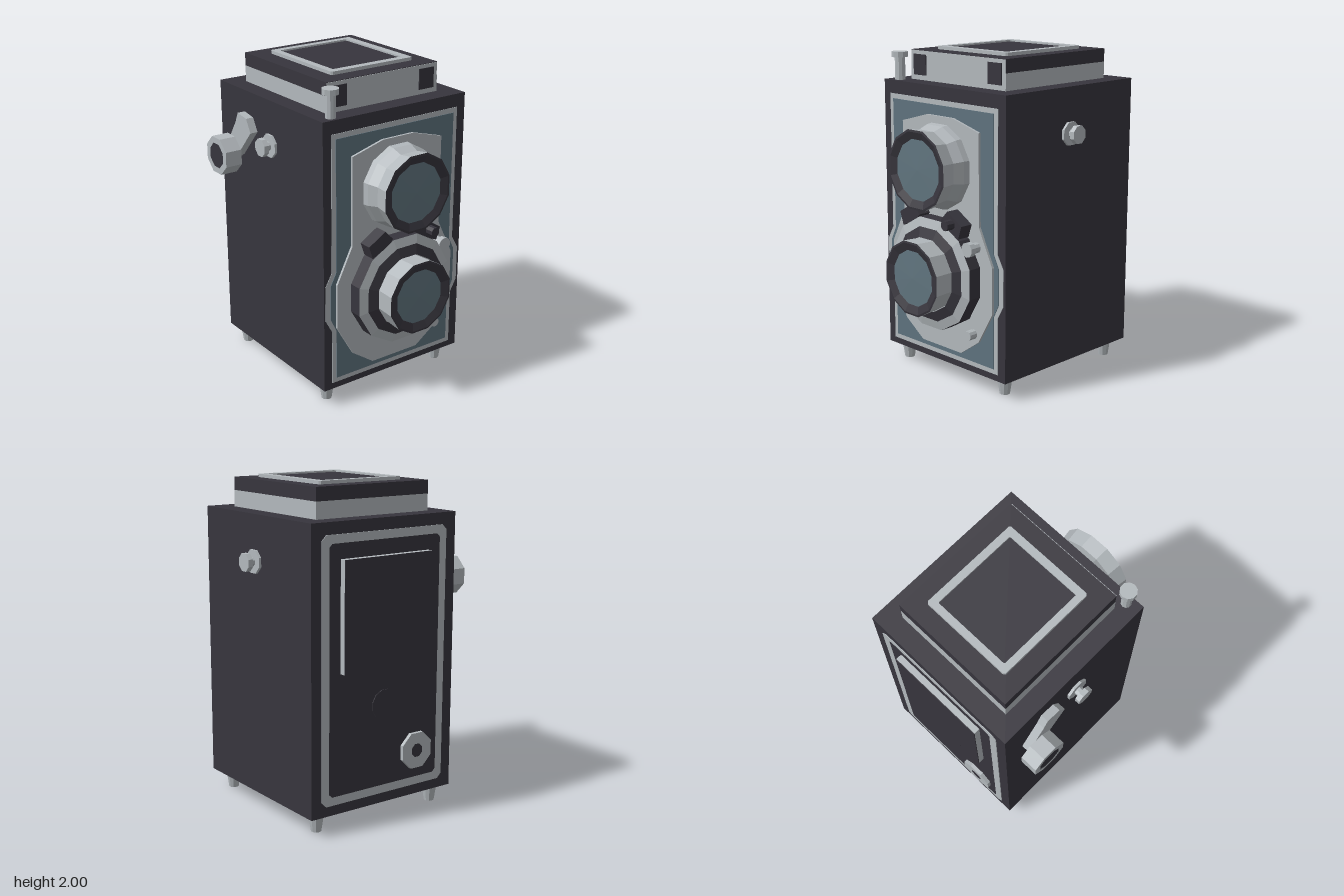
import * as THREE from 'three';

const mat = (name, color) => {
  const m = new THREE.MeshStandardMaterial({ color, flatShading: true });
  m.name = name;
  return m;
};

export function createModel() {
  const root = new THREE.Group();
  root.name = 'twinLensCamera';
  const dark = mat('dark leather', 0x37353d);
  const metal = mat('light metal', 0xb3b9bd);
  const blue = mat('blue grey panel', 0x5f737f);
  const glass = mat('lens glass', 0x61757f);

  const add = (name, geometry, material) => {
    const m = new THREE.Mesh(geometry, material);
    m.name = name;
    root.add(m);
    return m;
  };

  // box given by its two corners
  const box = (name, material, x0, x1, y0, y1, z0, z1) =>
    add(name, new THREE.BoxGeometry(x1 - x0, y1 - y0, z1 - z0), material)
      .position.set((x0 + x1) / 2, (y0 + y1) / 2, (z0 + z1) / 2);

  // turned part: profile of [radius, distance along axis]
  const turn = {
    x: g => g.rotateZ(-Math.PI / 2),
    y: g => g,
    z: g => g.rotateX(Math.PI / 2),
    '-z': g => g.rotateX(-Math.PI / 2),
    '-x': g => g.rotateZ(Math.PI / 2),
  };
  const lathe = (name, material, profile, sides, axis, pos) => {
    const k = 1 / Math.cos(Math.PI / sides);
    const pts = profile.map(([r, h]) => new THREE.Vector2(r * k, h));
    const g = new THREE.LatheGeometry(pts, sides, Math.PI / sides);
    add(name, turn[axis](g), material).position.set(...pos);
  };

  // slab of [z, y] outline, extruded from x0 to x1
  const outline = pts => pts.map(([z, y]) => new THREE.Vector2(-z, y));
  const slab = (name, material, pts, x0, x1, hole) => {
    const s = new THREE.Shape(outline(pts));
    if (hole) s.holes.push(new THREE.Path(outline(hole)));
    const g = new THREE.ExtrudeGeometry(s, { depth: x1 - x0, bevelEnabled: false });
    add(name, g.rotateY(Math.PI / 2), material).position.x = x0;
  };
  // rectangle with small clipped corners
  const rect = (a0, a1, b0, b1, c) => [
    [a0 + c, b0], [a1 - c, b0], [a1, b0 + c], [a1, b1 - c],
    [a1 - c, b1], [a0 + c, b1], [a0, b1 - c], [a0, b0 + c]];
  const CZ = -0.04; // lens centre line
  const mirrored = half => [...half, ...half.map(([z, y]) => [2 * CZ - z, y]).reverse()];

  // body and feet
  box('body', dark, -0.66, 0.44, 0.11, 1.8, -0.56, 0.475);
  for (const x of [-0.57, 0.345])
    for (const z of [0.395, -0.465])
      lathe('foot', metal, [[0, 0], [0.03, 0], [0.046, 0.11]], 10, 'y', [x, 0, z]);

  // viewing hood
  box('hoodBase', metal, -0.54, 0.32, 1.8, 1.9, -0.44, 0.363);
  box('hoodTop', dark, -0.54, 0.317, 1.9, 1.98, -0.44, 0.363);
  box('hoodFrontPlate', metal, 0.315, 0.321, 1.803, 1.977, -0.437, 0.36);
  for (const z of [0.28, -0.355])
    box('hoodWindow', dark, 0.32, 0.326, 1.83, 1.955, z - 0.055, z + 0.055);
  const frame = new THREE.Shape(rect(-0.43, 0.21, -0.25, 0.34, 0.01).map(p => new THREE.Vector2(...p)));
  frame.holes.push(new THREE.Path(rect(-0.387, 0.163, -0.207, 0.293, 0.006).map(p => new THREE.Vector2(...p))));
  add('hoodFrame', new THREE.ExtrudeGeometry(frame, { depth: 0.02, bevelEnabled: false })
    .rotateX(-Math.PI / 2), metal).position.y = 1.98;
  box('hoodLid', dark, -0.387, 0.163, 1.975, 1.99, -0.293, 0.207);

  // shutter button
  lathe('shutterButton', metal,
    [[0.03, 1.8], [0.03, 1.937], [0.048, 1.937], [0.048, 1.97], [0, 1.97]], 10, 'y', [0.39, 0, 0.387]);

  // front trim, panel and lens board
  const trim = (w, y0, y1, b) => mirrored([
    [w, y1], [w, 0.88], [b, 0.8], [b, 0.58], [w, 0.5], [w, y0]]);
  slab('frontTrim', metal, trim(0.42, 0.15, 1.72, 0.465), 0.435, 0.443);
  slab('frontPanel', blue, trim(0.39, 0.18, 1.69, 0.43), 0.438, 0.447);
  slab('lensBoard', metal, mirrored([
    [0.07, 1.63], [0.287, 1.57], [0.287, 1.02], [0.395, 0.8],
    [0.395, 0.52], [0.28, 0.32], [0.13, 0.215]]), 0.44, 0.462);

  // upper lens
  const up = [0, 1.335, CZ];
  lathe('upperBarrel', metal, [[0.25, 0.46], [0.245, 0.5], [0.222, 0.56], [0.235, 0.65]], 12, 'x', up);
  lathe('upperRim', dark, [[0.235, 0.65], [0.222, 0.652], [0.178, 0.635]], 12, 'x', up);
  lathe('upperGlass', glass, [[0.178, 0.635], [0, 0.64]], 12, 'x', up);

  // lower lens
  const low = [0, 0.695, CZ];
  lathe('shutterHousing', dark, [[0.335, 0.46], [0.335, 0.545]], 12, 'x', low);
  lathe('shutterBevel', metal, [[0.335, 0.545], [0.28, 0.56]], 12, 'x', low);
  lathe('shutterCone', dark, [[0.28, 0.56], [0.22, 0.58]], 12, 'x', low);
  lathe('lowerBarrel', metal, [[0.215, 0.57], [0.223, 0.7]], 12, 'x', low);
  lathe('lowerRim', dark, [[0.223, 0.7], [0.212, 0.702], [0.165, 0.685]], 12, 'x', low);
  lathe('lowerGlass', glass, [[0.165, 0.685], [0, 0.69]], 12, 'x', low);

  // setting levers and studs around the shutter
  const lever = [[0.228, 1.03], [0.11, 1.1], [0.053, 1.04], [0.075, 1.01], [0.2, 0.95]];
  slab('leftLever', dark, lever, 0.46, 0.545);
  slab('rightLever', dark, lever.map(([z, y]) => [2 * CZ - z, y]).reverse(), 0.46, 0.545);
  lathe('leverKnob', dark, [[0.028, 0.54], [0.028, 0.6], [0, 0.6]], 8, 'x', [0, 1.03, -0.225]);
  lathe('cableSocket', metal,
    [[0.03, 0.46], [0.03, 0.51], [0.042, 0.51], [0.042, 0.545], [0, 0.545]], 10, 'x', [0, 0.9, -0.35]);
  lathe('smallStud', metal, [[0.028, 0.46], [0.028, 0.515], [0, 0.515]], 10, 'x', [0, 0.365, -0.32]);

  // winding crank on the right side
  const arm = new THREE.Shape([
    [-0.53, 1.42], [-0.49, 1.33], [-0.4, 1.39], [-0.24, 1.57],
    [-0.285, 1.65], [-0.38, 1.665], [-0.41, 1.6]].map(p => new THREE.Vector2(...p)));
  add('crankArm', new THREE.ExtrudeGeometry(arm, { depth: 0.05, bevelEnabled: false }), metal)
    .position.z = 0.475;
  const hub = [-0.47, 1.39, 0];
  lathe('crankHandle', metal,
    [[0, 0.522], [0.113, 0.522], [0.113, 0.632], [0.075, 0.632]], 8, 'z', hub);
  lathe('crankCap', dark, [[0.075, 0.632], [0, 0.632]], 8, 'z', hub);

  // strap knobs on both sides
  const knob = [[0.068, 0], [0.068, 0.016], [0.026, 0.016], [0.026, 0.045],
    [0.052, 0.045], [0.052, 0.076], [0, 0.076]];
  lathe('strapKnob', metal, knob, 8, 'z', [-0.095, 1.525, 0.475]);
  lathe('strapKnob', metal, knob, 8, '-z', [-0.095, 1.525, -0.56]);

  // back trim, pressure plate, window and dial
  slab('backTrim', metal, rect(-0.49, 0.405, 0.17, 1.73, 0.03), -0.664, -0.656,
    rect(-0.44, 0.355, 0.22, 1.68, 0.02));
  box('backPlate', metal, -0.697, -0.66, 0.94, 1.59, -0.36, 0.27);
  box('backPlateFace', dark, -0.701, -0.697, 0.94, 1.59, -0.36, 0.27);
  lathe('backWindow', dark, [[0.09, 0], [0.09, 0.005], [0, 0.005]], 12, '-x', [-0.66, 0.71, CZ]);
  lathe('backDial', metal, [[0.108, 0], [0.108, 0.023], [0.04, 0.023]], 8, '-x', [-0.66, 0.39, 0.195]);
  lathe('backDialCentre', dark, [[0.04, 0.023], [0, 0.023]], 8, '-x', [-0.66, 0.39, 0.195]);

  return root;
}
